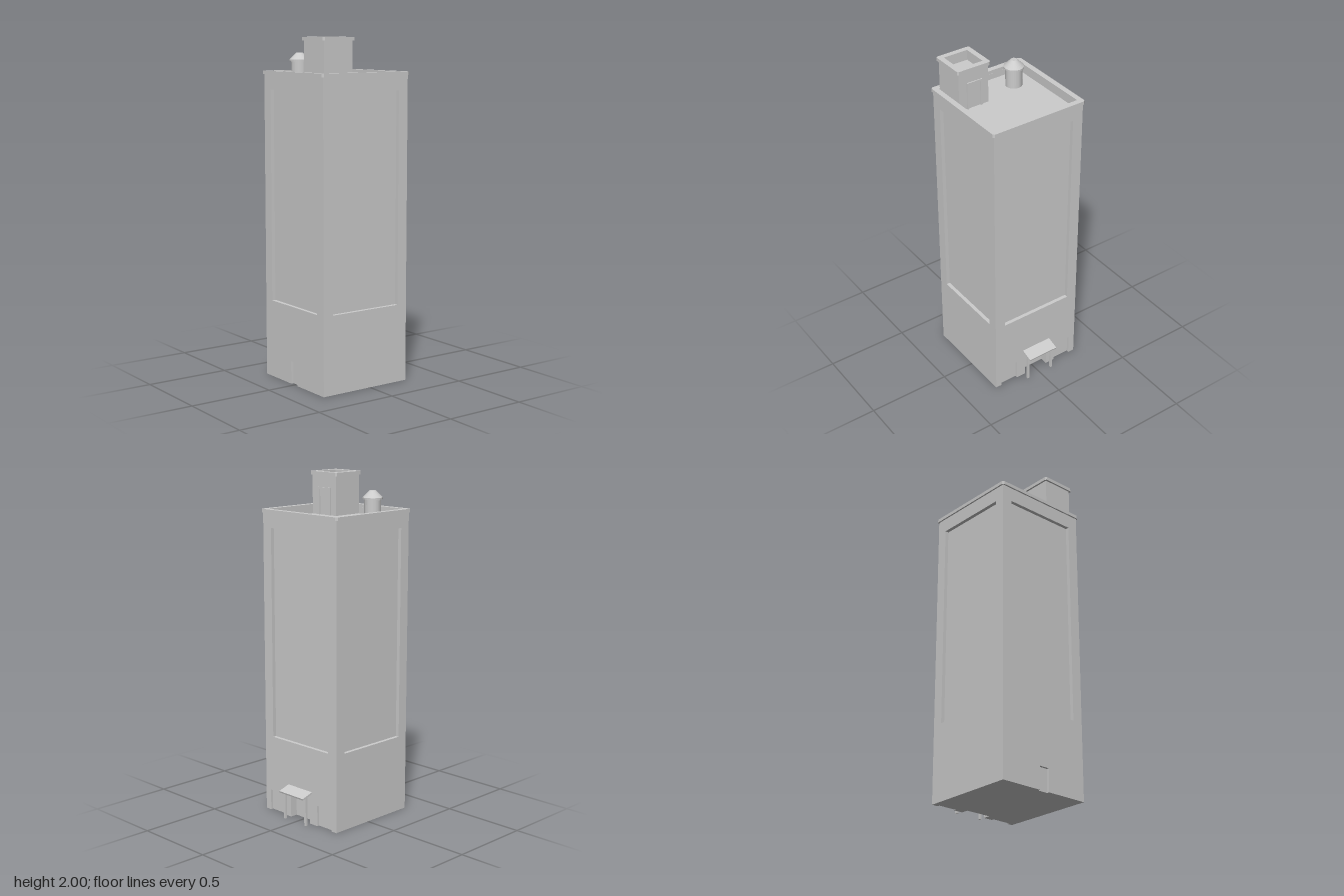
import * as THREE from 'three';

const grey = new THREE.MeshStandardMaterial({ color: 0xcccccc, flatShading: true, side: THREE.DoubleSide });

function add(parent, name, geometry, x = 0, y = 0, z = 0) {
  const mesh = new THREE.Mesh(geometry, grey);
  mesh.name = name;
  mesh.position.set(x, y, z);
  parent.add(mesh);
  return mesh;
}

const polygon = (points) => new THREE.Shape(points.map(([x, y]) => new THREE.Vector2(x, y)));
const rectangle = (x0, x1, y0, y1) => [[x0, y0], [x1, y0], [x1, y1], [x0, y1]];

// Rectangular ring lying flat, rising by height, with cut outer corners
function ring(hw, hd, wall, height, cut = 0) {
  const outline = cut
    ? [[-hw + cut, -hd], [hw - cut, -hd], [hw, -hd + cut], [hw, hd - cut],
      [hw - cut, hd], [-hw + cut, hd], [-hw, hd - cut], [-hw, -hd + cut]]
    : rectangle(-hw, hw, -hd, hd);
  const shape = polygon(outline);
  shape.holes.push(polygon(rectangle(-hw + wall, hw - wall, -hd + wall, hd - wall)));
  return new THREE.ExtrudeGeometry(shape, { depth: height, bevelEnabled: false }).rotateX(-Math.PI / 2);
}

// Back and reveals of a sunken rectangle; a doorway (y0 = 0) has no sill
function recess(parent, name, [x0, x1, y0, y1, depth]) {
  const group = new THREE.Group();
  group.name = name;
  parent.add(group);
  const w = x1 - x0, h = y1 - y0, cx = (x0 + x1) / 2, cy = (y0 + y1) / 2;
  add(group, 'recessBack', new THREE.PlaneGeometry(w, h), cx, cy, -depth);
  for (const [x, s] of [[x0, 1], [x1, -1]])
    add(group, 'jamb', new THREE.PlaneGeometry(depth, h).rotateY(s * Math.PI / 2), x, cy, -depth / 2);
  add(group, 'lintel', new THREE.PlaneGeometry(w, depth).rotateX(Math.PI / 2), cx, y1, -depth / 2);
  if (y0 > 0)
    add(group, 'sill', new THREE.PlaneGeometry(w, depth).rotateX(-Math.PI / 2), cx, y0, -depth / 2);
}

// One side of the tower: a flat wall with a tall sunken panel and doorways
function facade(parent, name, half, distance, angle, height, doors) {
  const group = new THREE.Group();
  group.name = name;
  group.rotation.y = angle;
  parent.add(group);
  const notches = doors.flatMap(([x0, x1, , y1]) => [[x0, 0], [x0, y1], [x1, y1], [x1, 0]]);
  const shape = polygon([[-half, 0], ...notches, [half, 0], [half, height], [-half, height]]);
  const panel = [-0.23, 0.23, 0.46, 1.7, 0.022];
  shape.holes.push(polygon(rectangle(...panel.slice(0, 4))));
  add(group, 'wall', new THREE.ShapeGeometry(shape), 0, 0, distance);
  const inset = new THREE.Group();
  inset.name = 'recesses';
  inset.position.z = distance;
  group.add(inset);
  recess(inset, 'tallPanel', panel);
  doors.forEach((door) => recess(inset, 'doorway', door));
}

export function createModel() {
  const model = new THREE.Group();
  model.name = 'towerBlock';

  // Tower body
  const HW = 0.295, HD = 0.2935, ROOF = 1.75, EAVE = 1.785;
  const body = new THREE.Group();
  body.name = 'body';
  body.position.z = 0.0315;
  model.add(body);
  const frontDoors = [[-0.033, 0.033, 0, 0.135, 0.015]];
  const backDoors = [
    [-0.255, -0.14, 0, 0.125, 0.015],
    [-0.08, 0.08, 0, 0.145, 0.045],
    [0.14, 0.255, 0, 0.125, 0.015],
  ];
  facade(body, 'frontFacade', HW, HD, 0, ROOF, frontDoors);
  facade(body, 'leftFacade', HD, HW, Math.PI / 2, ROOF, []);
  facade(body, 'backFacade', HW, HD, Math.PI, ROOF, backDoors);
  facade(body, 'rightFacade', HD, HW, -Math.PI / 2, ROOF, []);

  // Underside, notched at the doorways
  const notch = (sign) => ([x0, x1, , , d]) =>
    [[x0, -HD * sign], [x0, (-HD + d) * sign], [x1, (-HD + d) * sign], [x1, -HD * sign]];
  const base = polygon([
    [-HW, -HD], ...backDoors.flatMap(notch(1)), [HW, -HD],
    [HW, HD], ...frontDoors.flatMap(notch(-1)).reverse(), [-HW, HD],
  ]);
  add(body, 'underside', new THREE.ShapeGeometry(base).rotateX(Math.PI / 2));

  // Roof, parapet and its coping
  add(body, 'roof', new THREE.PlaneGeometry(2 * HW, 2 * HD).rotateX(-Math.PI / 2), 0, ROOF, 0);
  add(body, 'parapet', ring(HW, HD, 0.024, EAVE - ROOF), 0, ROOF, 0);
  add(body, 'coping', ring(0.304, 0.303, 0.033, 0.02, 0.01), 0, EAVE, 0);

  // Stair house on the roof, with a sunken top and a door on its rear wall
  const house = new THREE.Group();
  house.name = 'stairHouse';
  house.position.set(0.171, ROOF, 0.2025);
  model.add(house);
  add(house, 'houseBody', new THREE.BoxGeometry(0.192, 0.19, 0.192), 0, 0.095, 0);
  add(house, 'houseParapet', ring(0.096, 0.096, 0.021, 0.04), 0, 0.19, 0);
  add(house, 'houseCoping', ring(0.107, 0.107, 0.032, 0.02, 0.008), 0, 0.23, 0);
  const frame = polygon([[-0.05, 0], [-0.038, 0], [-0.038, 0.148], [0.038, 0.148],
    [0.038, 0], [0.05, 0], [0.05, 0.16], [-0.05, 0.16]]);
  add(house, 'doorFrame', new THREE.ExtrudeGeometry(frame, { depth: 0.008, bevelEnabled: false }), -0.005, 0, -0.103);

  // Round roof vent with an overhanging conical cap
  const vent = [[0, 0], [0.048, 0], [0.048, 0.11], [0.058, 0.11], [0.058, 0.12], [0.018, 0.16], [0, 0.16]];
  add(model, 'roofVent', new THREE.LatheGeometry(vent.map(([x, y]) => new THREE.Vector2(x, y)), 32), -0.148, ROOF, 0.178);

  // Sloping canopy over the rear entrance, on two posts
  const canopy = add(model, 'canopy', new THREE.BoxGeometry(0.197, 0.01, 0.078), 0, 0.181, -0.3);
  canopy.rotation.x = -0.3;
  for (const side of [-1, 1])
    add(model, 'canopyPost', new THREE.BoxGeometry(0.013, 0.177, 0.013), side * 0.086, 0.0885, -0.302);

  return model;
}
